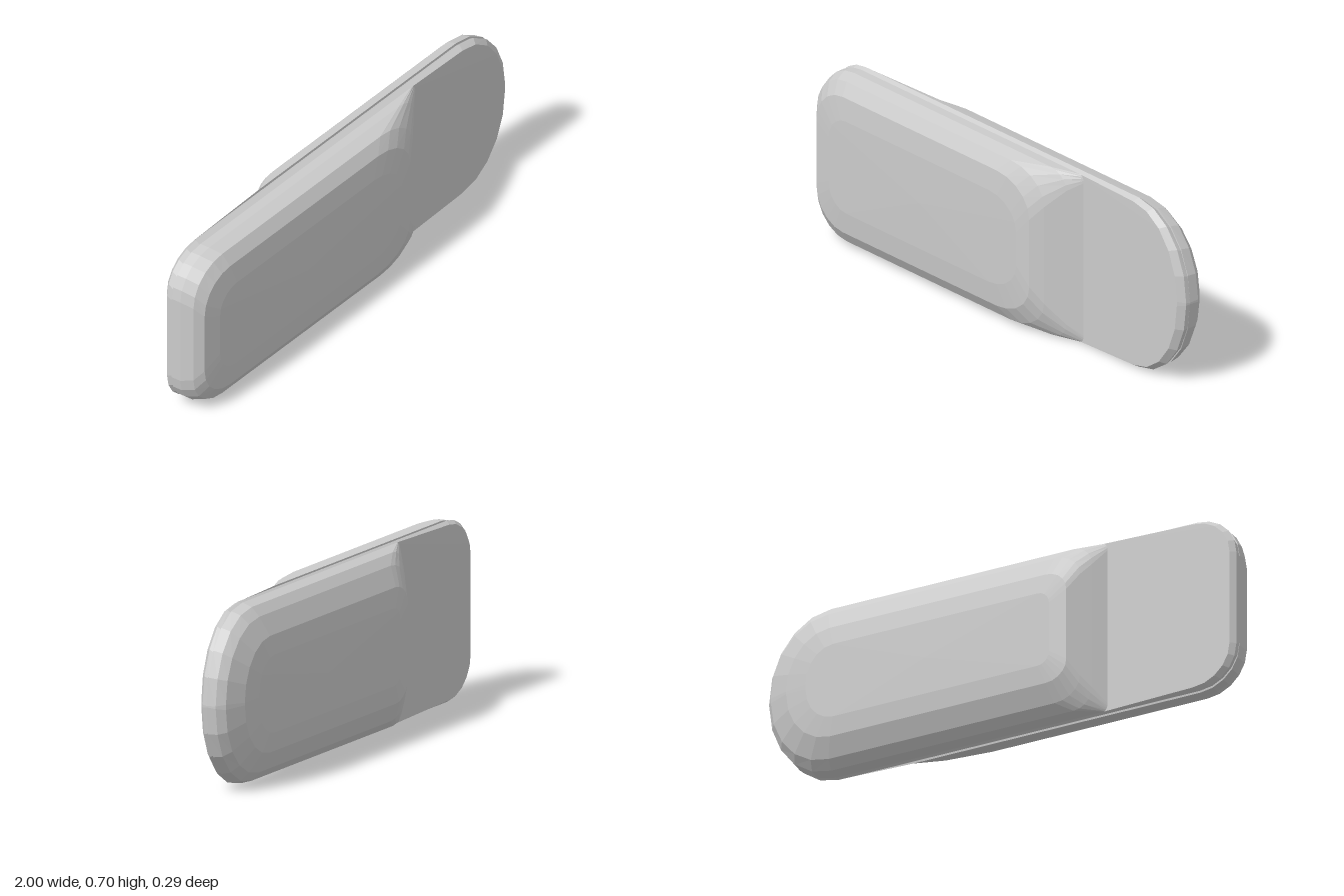
import * as THREE from 'three';

const HEIGHT = 0.7, SEGMENTS = 5;

// Outline with elliptical corners, counter-clockwise seen from the front
function outline([z, x0, x1, inset, lx, ly, rx, ry]) {
  const y0 = inset, y1 = HEIGHT - inset, pts = [];
  const corners = [
    [x1 - rx, y1 - ry, rx, ry, 0],
    [x0 + lx, y1 - ly, lx, ly, 1],
    [x0 + lx, y0 + ly, lx, ly, 2],
    [x1 - rx, y0 + ry, rx, ry, 3],
  ];
  for (const [cx, cy, ax, ay, quarter] of corners) {
    for (let k = 0; k <= SEGMENTS; k++) {
      const a = (quarter + k / SEGMENTS) * Math.PI / 2;
      pts.push([cx + ax * Math.cos(a), cy + ay * Math.sin(a), z]);
    }
  }
  return pts;
}

// Skin a stack of outlines and close both ends with fans
function loft(rings) {
  const n = rings[0].length, verts = rings.flat(2), index = [];
  for (let i = 0; i < rings.length - 1; i++) {
    for (let j = 0; j < n; j++) {
      const a = i * n + j, b = i * n + (j + 1) % n;
      index.push(a, b, b + n, a, b + n, a + n);
    }
  }
  const last = (rings.length - 1) * n;
  const back = verts.length / 3, front = back + 1;
  verts.push(0.28, HEIGHT / 2, -0.143, -0.35, HEIGHT / 2, 0.142);
  for (let j = 0; j < n; j++) {
    const k = (j + 1) % n;
    index.push(back, k, j, front, last + j, last + k);
  }
  const g = new THREE.BufferGeometry();
  g.setAttribute('position', new THREE.Float32BufferAttribute(verts, 3));
  g.setIndex(index);
  const flat = g.toNonIndexed();
  flat.computeVertexNormals();
  return flat;
}

export function createModel() {
  const group = new THREE.Group();
  group.name = 'offsetCapsule';

  // z, left x, right x, height inset, left corner rx, ry, right corner rx, ry
  const sections = [
    // rear half: rounded right end, sloped left end
    [-0.142, -0.26, 0.80, 0.20, 0.05, 0.05, 0.12, 0.14],
    [-0.133, -0.33, 0.89, 0.125, 0.09, 0.08, 0.19, 0.22],
    [-0.10, -0.37, 0.975, 0.05, 0.11, 0.09, 0.25, 0.29],
    [-0.07, -0.405, 1.0, 0.015, 0.08, 0.08, 0.27, 0.33],
    [-0.03, -0.45, 1.0, 0.002, 0.02, 0.03, 0.27, 0.345],
    // flat step facing the rear
    [-0.029, -0.98, 1.0, 0.012, 0.16, 0.15, 0.27, 0.335],
    [-0.012, -1.0, 0.998, 0, 0.17, 0.16, 0.27, 0.345],
    [0.010, -1.0, 0.97, 0.012, 0.17, 0.16, 0.25, 0.33],
    // flat step facing the front
    [0.011, -1.0, 0.44, 0.004, 0.17, 0.16, 0.02, 0.03],
    // front half: rounded left end, sloped right end
    [0.05, -0.997, 0.385, 0.004, 0.17, 0.16, 0.09, 0.07],
    [0.10, -0.98, 0.315, 0.02, 0.17, 0.16, 0.19, 0.13],
    [0.13, -0.95, 0.265, 0.07, 0.15, 0.15, 0.19, 0.14],
    [0.139, -0.87, 0.20, 0.16, 0.10, 0.10, 0.16, 0.12],
  ];
  const material = new THREE.MeshStandardMaterial({ color: 0xcccccc, flatShading: true });
  const body = new THREE.Mesh(loft(sections.map(outline)), material);
  body.name = 'steppedBody';
  group.add(body);
  return group;
}
